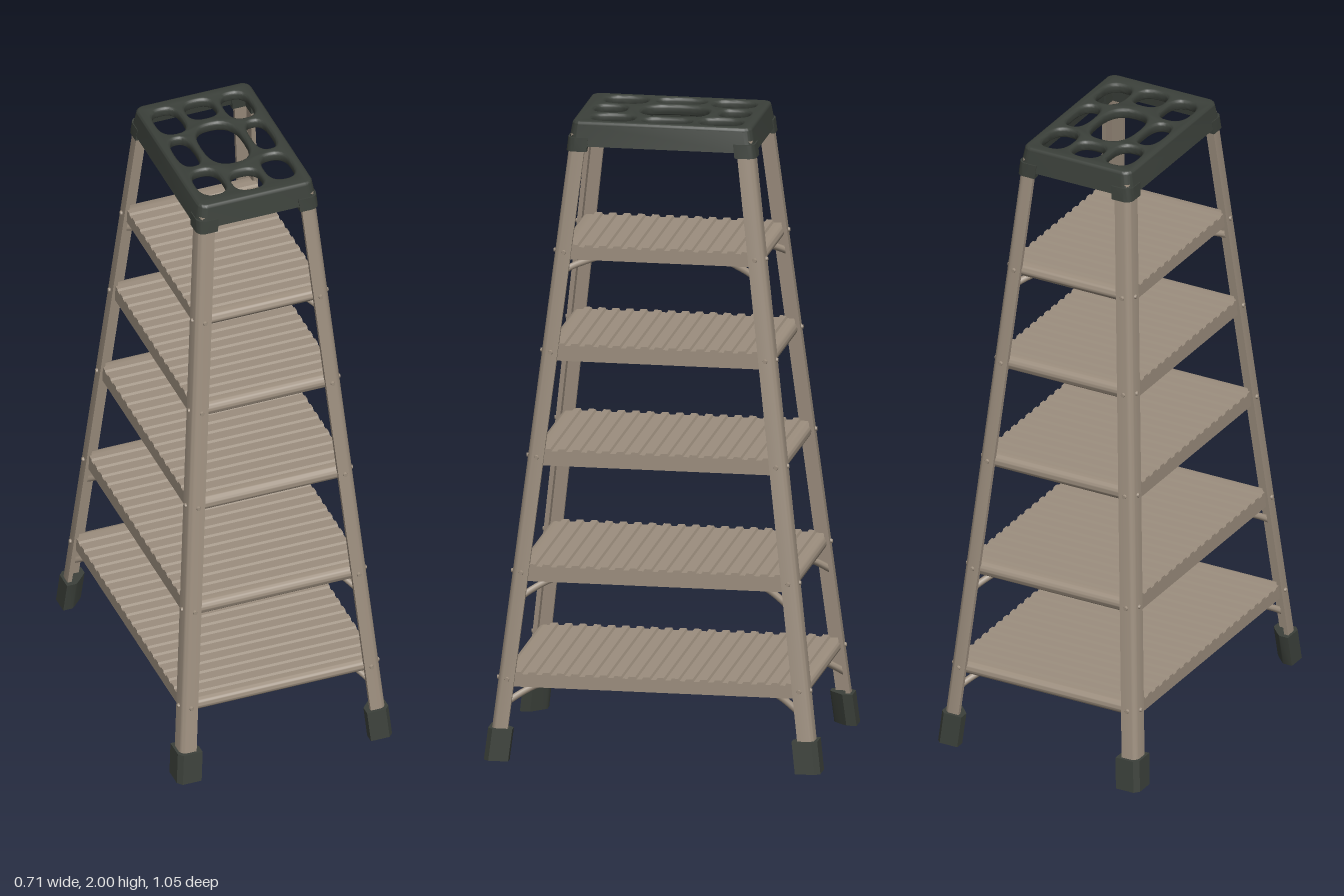
import * as THREE from 'three';
import { toCreasedNormals } from 'three/addons/utils/BufferGeometryUtils.js';

const metal = new THREE.MeshStandardMaterial({ color: 0x9c8e7e });
metal.name = 'warm grey metal';
const rubber = new THREE.MeshStandardMaterial({ color: 0x3b403a });
rubber.name = 'dark plastic';

// Outer corner of the splayed legs at height y
const legX = (y) => 0.348 - 0.0797 * y;
const legZ = (y) => 0.517 - 0.118 * y;
const corners = [[1, 1], [1, -1], [-1, 1], [-1, -1]];

function addMesh(parent, name, geometry, material) {
  const mesh = new THREE.Mesh(geometry, material);
  mesh.name = name;
  parent.add(mesh);
  return mesh;
}

// Extrude a plan section (x, z measured from the leg corner) along the leg's slope
function slopedPost(section, sx, sz, y0, y1) {
  const shape = new THREE.Shape(section.map(([x, z]) => new THREE.Vector2(sx * x, -sz * z)));
  const g = new THREE.ExtrudeGeometry(shape, { depth: y1 - y0, bevelEnabled: false });
  g.rotateX(-Math.PI / 2);
  g.translate(0, y0, 0);
  const p = g.attributes.position;
  for (let i = 0; i < p.count; i++) {
    const y = p.getY(i);
    p.setX(i, p.getX(i) + sx * legX(y));
    p.setZ(i, p.getZ(i) + sz * legZ(y));
  }
  return toCreasedNormals(g, 0.7);
}

// Angle section with a rounded outer corner
function angleSection(arm, thick, out, r) {
  const pts = [[-arm, out], [-arm, out - thick], [out - thick, out - thick], [out - thick, -arm], [out, -arm]];
  for (let i = 0; i <= 6; i++) {
    const a = (i / 6) * Math.PI / 2;
    pts.push([out - r + r * Math.cos(a), out - r + r * Math.sin(a)]);
  }
  return pts;
}

function roundedRect(hx, hz, r, Type = THREE.Shape) {
  const s = new Type();
  s.absarc(hx - r, hz - r, r, 0, Math.PI / 2);
  s.absarc(-hx + r, hz - r, r, Math.PI / 2, Math.PI);
  s.absarc(-hx + r, -hz + r, r, Math.PI, Math.PI * 1.5);
  s.absarc(hx - r, -hz + r, r, Math.PI * 1.5, Math.PI * 2);
  s.closePath();
  return s;
}

// Softly squared oval opening
function ovalHole(x, z, rx, rz) {
  const pts = [];
  for (let i = 0; i < 28; i++) {
    const a = (i / 28) * Math.PI * 2, c = Math.cos(a), s = Math.sin(a);
    pts.push(new THREE.Vector2(
      x + rx * Math.sign(c) * Math.abs(c) ** 0.75,
      -z + rz * Math.sign(s) * Math.abs(s) ** 0.75));
  }
  return new THREE.Path(pts);
}

// Shelf: rounded front and back edges, raised ribs running along x
function shelfGeometry(hx, hz, bottom, top) {
  const rib = 0.007, deck = top - rib, r = (deck - bottom) / 2, mid = bottom + r;
  const s = new THREE.Shape();
  s.moveTo(-hz + r, bottom);
  s.lineTo(hz - r, bottom);
  s.absarc(hz - r, mid, r, -Math.PI / 2, Math.PI / 2);
  const n = Math.round((2 * hz - 0.06) / 0.045), pitch = (2 * hz - 0.06) / n;
  for (let i = 0; i < n; i++) {
    const z = hz - 0.03 - (i + 0.5) * pitch;
    s.lineTo(z + 0.014, deck);
    s.lineTo(z + 0.010, top);
    s.lineTo(z - 0.010, top);
    s.lineTo(z - 0.014, deck);
  }
  s.lineTo(-hz + r, deck);
  s.absarc(-hz + r, mid, r, Math.PI / 2, Math.PI * 1.5);
  const g = new THREE.ExtrudeGeometry(s, { depth: 2 * hx, bevelEnabled: false, curveSegments: 8 });
  g.translate(0, 0, -hx);
  g.rotateY(Math.PI / 2);
  return toCreasedNormals(g, 0.6);
}

export function createModel() {
  const model = new THREE.Group();
  model.name = 'stepLadder';

  // Legs, feet and cap sleeves
  const footSection = [[-0.068, 0.01], [-0.068, -0.022], [-0.052, -0.04], [-0.03, -0.062],
    [-0.022, -0.068], [0.008, -0.068], [0.008, -0.006], [-0.006, 0.01]];
  for (const [sx, sz] of corners) {
    const leg = new THREE.Group();
    leg.name = 'leg';
    addMesh(leg, 'rail', slopedPost(angleSection(0.052, 0.014, 0, 0.022), sx, sz, 0.04, 1.96), metal);
    addMesh(leg, 'foot', slopedPost(footSection, sx, sz, 0, 0.1), rubber);
    addMesh(leg, 'capSleeve', slopedPost(angleSection(0.06, 0.022, 0.006, 0.026), sx, sz, 1.907, 1.95), rubber);
    model.add(leg);
  }

  // Shelves: [bottom, top, has corner braces]
  const shelves = [[0.23, 0.277, true], [0.56, 0.614, true], [0.922, 0.975, false],
    [1.25, 1.305, false], [1.567, 1.614, true]];
  const rivet = new THREE.CylinderGeometry(0.006, 0.008, 0.008, 10);
  for (const [bottom, top, braced] of shelves) {
    const y = (bottom + top) / 2;
    addMesh(model, 'shelf', shelfGeometry(legX(y) - 0.009, legZ(y) - 0.009, bottom, top), metal);

    for (const [sx, sz] of corners) {
      // Rivets on both faces of the leg
      const front = addMesh(model, 'rivet', rivet, metal);
      front.position.set(sx * (legX(y) - 0.03), y, sz * (legZ(y) + 0.002));
      front.rotation.x = sz * Math.PI / 2;
      const side = addMesh(model, 'rivet', rivet, metal);
      side.position.set(sx * (legX(y) + 0.002), y, sz * (legZ(y) - 0.03));
      side.rotation.z = -sx * Math.PI / 2;

      // Bent tube from the leg to the underside of the shelf
      if (braced) {
        const low = bottom - (bottom > 1 ? 0.05 : 0.07);
        const point = (inset, h) => new THREE.Vector3(
          sx * (legX(low) - inset * 0.72), h, sz * (legZ(low) - inset));
        const path = new THREE.CatmullRomCurve3([
          point(0.016, low), point(0.06, low + (bottom - low) * 0.45),
          point(0.11, bottom - 0.013), point(0.145, bottom - 0.004)]);
        addMesh(model, 'cornerBrace', new THREE.TubeGeometry(path, 12, 0.011, 8), metal);
      }
    }
  }

  // Cap: perforated top plate over a flared hollow skirt
  const cap = new THREE.Group();
  cap.name = 'cap';
  const plate = roundedRect(0.19, 0.282, 0.03);
  const holes = [[0, -0.01, 0.07, 0.105], [0, -0.197, 0.048, 0.047], [0, 0.192, 0.048, 0.05]];
  for (const s of [-1, 1]) {
    holes.push([s * 0.114, -0.175, 0.045, 0.066], [s * 0.114, 0.163, 0.045, 0.066], [s * 0.126, -0.008, 0.034, 0.075]);
  }
  plate.holes = holes.map((h) => ovalHole(...h));
  const plateGeo = new THREE.ExtrudeGeometry(plate, {
    depth: 0.012, bevelThickness: 0.011, bevelSize: 0.009, bevelOffset: -0.009, bevelSegments: 3, curveSegments: 6 });
  plateGeo.rotateX(-Math.PI / 2);
  plateGeo.translate(0, 1.977, 0);
  addMesh(cap, 'topPlate', toCreasedNormals(plateGeo, 0.7), rubber);

  const skirt = roundedRect(0.19, 0.282, 0.03);
  skirt.holes.push(roundedRect(0.176, 0.268, 0.02, THREE.Path));
  const skirtGeo = new THREE.ExtrudeGeometry(skirt, { depth: 0.065, bevelEnabled: false, curveSegments: 6 });
  skirtGeo.rotateX(-Math.PI / 2);
  skirtGeo.translate(0, 1.924, 0);
  const p = skirtGeo.attributes.position;
  for (let i = 0; i < p.count; i++) {
    const t = (1.989 - p.getY(i)) / 0.065;
    p.setX(i, p.getX(i) * (1 + 0.055 * t));
    p.setZ(i, p.getZ(i) * (1 + 0.04 * t));
  }
  addMesh(cap, 'skirt', toCreasedNormals(skirtGeo, 0.7), rubber);
  model.add(cap);

  return model;
}
